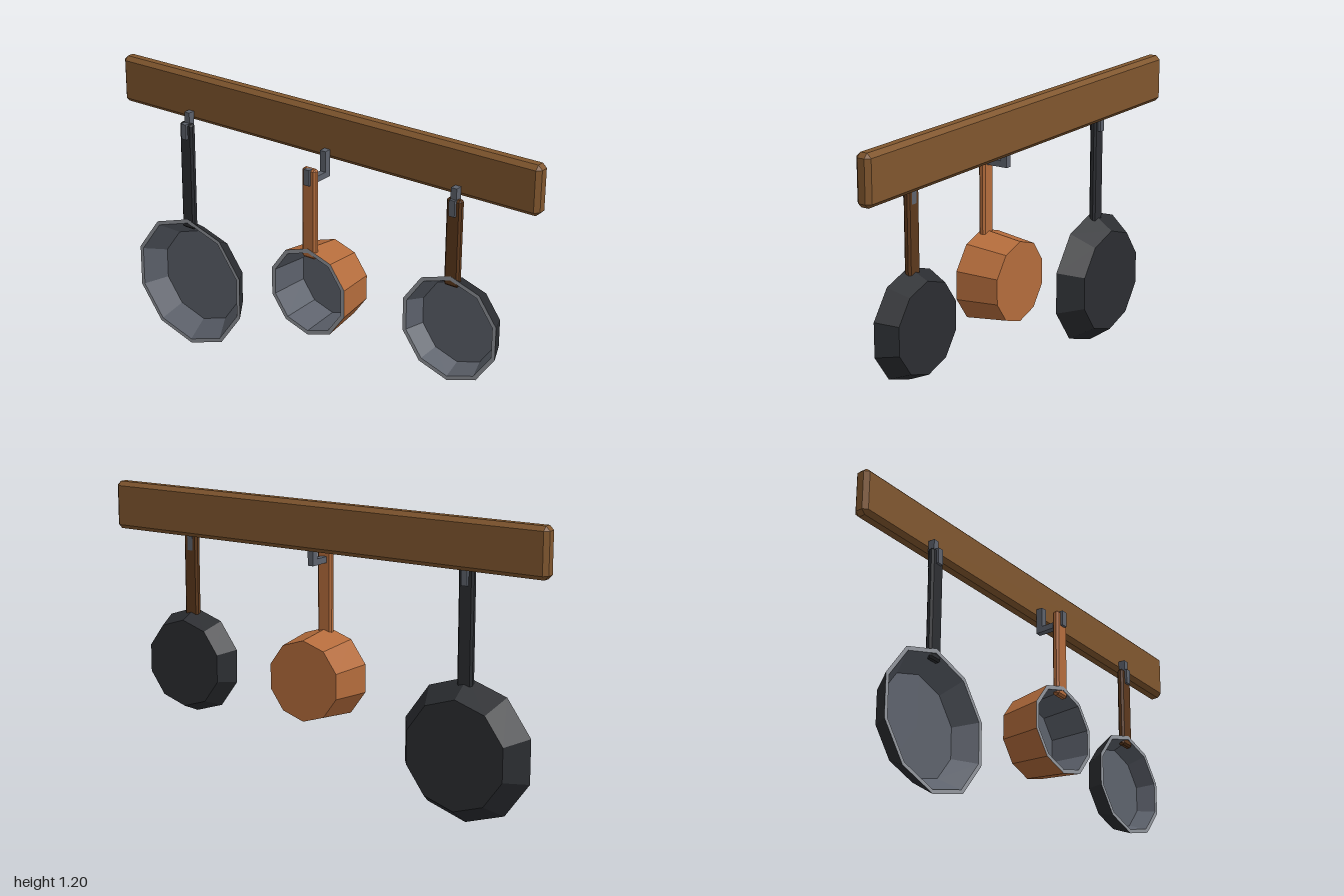
import * as THREE from 'three';
import { ConvexGeometry } from 'three/addons/geometries/ConvexGeometry.js';

const material = (color) => new THREE.MeshStandardMaterial({ color, flatShading: true });
const wood = material(0x80562e);
const darkWood = material(0x5c381c);
const copper = material(0xb46c3c);
const iron = material(0x2b2d31);
const steel = material(0x5d626c);
const rimSteel = material(0x92969d);

const BACK = -0.086; // plane on which all the pan bases lie
const HANDLE_TOP = 1.0;

function addMesh(parent, name, geometry, mat, x = 0, y = 0, z = 0) {
  const mesh = new THREE.Mesh(geometry, mat);
  mesh.name = name;
  mesh.position.set(x, y, z);
  parent.add(mesh);
  return mesh;
}

// Box with every edge cut at 45 degrees
function chamferedBox(w, h, d, c) {
  const points = [];
  for (const sx of [-1, 1]) for (const sy of [-1, 1]) for (const sz of [-1, 1]) {
    const half = [w / 2, h / 2, d / 2];
    for (let axis = 0; axis < 3; axis++) {
      const [x, y, z] = half.map((v, i) => (i === axis ? v : v - c));
      points.push(new THREE.Vector3(sx * x, sy * y, sz * z));
    }
  }
  return new ConvexGeometry(points);
}

// Ten-sided surface turned about z; profile points are [radius, z]
function decagonLathe(profile) {
  const points = profile.map(([r, z]) => new THREE.Vector2(r, z));
  return new THREE.LatheGeometry(points, 10).rotateX(Math.PI / 2);
}

function createPan({ name, x, y, radius, base, floor, front, handleEnd, bodyMat, handleMat }) {
  const pan = new THREE.Group();
  pan.name = name;
  const lip = radius - 0.017;

  addMesh(pan, 'body', decagonLathe([[0, BACK], [base, BACK], [radius, front]]), bodyMat, x, y);
  addMesh(pan, 'rim', decagonLathe([[radius, front], [lip, front]]), rimSteel, x, y);
  addMesh(pan, 'interior', decagonLathe([[lip, front], [floor, BACK + 0.014], [0, BACK + 0.014]]), steel, x, y);

  // Handle, its front face just behind the rim
  const length = HANDLE_TOP - handleEnd;
  addMesh(pan, 'handle', chamferedBox(0.065, length, 0.029, 0.008), handleMat,
    x, handleEnd + length / 2, front - 0.017);

  // Hook: shank on the rail, arm running forward and upturned tip
  const hook = new THREE.Group();
  hook.name = 'hook';
  pan.add(hook);
  const tip = front + 0.008;
  const bar = (part, y0, y1, z0, z1) => addMesh(hook, part,
    new THREE.BoxGeometry(0.026, y1 - y0, z1 - z0), steel, x, (y0 + y1) / 2, (z0 + z1) / 2);
  bar('shank', 0.935, 1.045, -0.032, -0.003);
  bar('arm', 0.935, 0.96, -0.03, tip - 0.001);
  bar('tip', 0.935, 1.0, tip - 0.024, tip);
  return pan;
}

export function createModel() {
  const model = new THREE.Group();
  model.name = 'hangingPanRack';

  addMesh(model, 'rail', chamferedBox(2, 0.197, 0.064, 0.017), wood, 0, 1.102, -0.064);

  const pans = [
    { name: 'largePan', x: -0.627, y: 0.29, radius: 0.288, base: 0.22, floor: 0.207,
      front: 0.012, handleEnd: 0.535, bodyMat: iron, handleMat: iron },
    { name: 'saucepan', x: 0.063, y: 0.48, radius: 0.187, base: 0.165, floor: 0.155,
      front: 0.092, handleEnd: 0.625, bodyMat: copper, handleMat: copper },
    { name: 'smallPan', x: 0.663, y: 0.47, radius: 0.22, base: 0.182, floor: 0.172,
      front: 0.0, handleEnd: 0.645, bodyMat: iron, handleMat: darkWood },
  ];
  for (const pan of pans) model.add(createPan(pan));
  return model;
}
